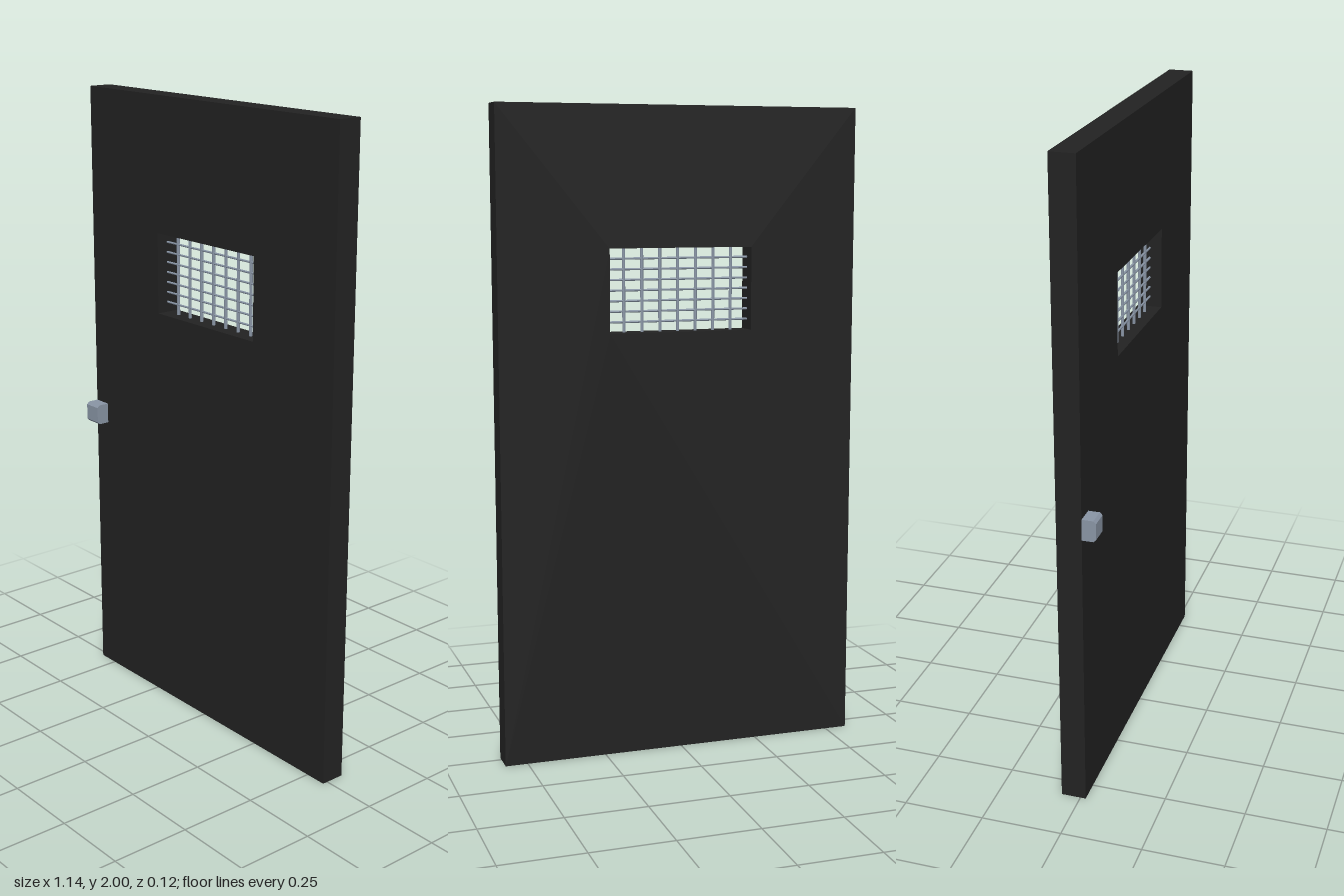
import * as THREE from 'three';

export function createModel() {
  const model = new THREE.Group();
  const doorPaint = new THREE.MeshStandardMaterial({ color: 0x222222 });
  doorPaint.name = 'charcoal';
  const steel = new THREE.MeshStandardMaterial({ color: 0x8894a4, flatShading: true });
  steel.name = 'steel';

  const add = (name, geometry, material, parent = model) => {
    const mesh = new THREE.Mesh(geometry, material);
    mesh.name = name;
    parent.add(mesh);
    return mesh;
  };
  const rect = (Type, x0, y0, x1, y1) => new Type([
    new THREE.Vector2(x0, y0), new THREE.Vector2(x1, y0),
    new THREE.Vector2(x1, y1), new THREE.Vector2(x0, y1),
  ]);

  // Door slab with a window opening
  const back = -0.06, front = 0.017;
  const win = { x: 0.227, bottom: 1.32, top: 1.576 };
  const outline = rect(THREE.Shape, -0.57, 0, 0.57, 2);
  outline.holes.push(rect(THREE.Path, -win.x, win.bottom, win.x, win.top));
  const slab = new THREE.ExtrudeGeometry(outline, { depth: front - back, bevelEnabled: false });
  add('doorSlab', slab.translate(0, 0, back), doorPaint);

  // Window grille: seven upright and seven level bars
  const grille = new THREE.Group();
  grille.name = 'windowGrille';
  model.add(grille);
  const mid = (front + back) / 2;
  const height = win.top - win.bottom;
  for (let i = 1; i <= 7; i++) {
    const upright = add('uprightBar', new THREE.CylinderGeometry(0.005, 0.005, height, 8), steel, grille);
    upright.position.set((i - 4) * 0.0575, win.bottom + height / 2, mid);
    const level = add('levelBar', new THREE.CylinderGeometry(0.0035, 0.0035, win.x * 2, 8), steel, grille);
    level.rotation.z = Math.PI / 2;
    level.position.set(0, win.bottom + (height * i) / 8, mid);
  }

  // Latch block: chamfered side profile swept along x
  const w = 0.06, h = 0.033, d = 0.043, c = 0.008;
  const profile = new THREE.Shape([
    [0, -h], [d - c, -h], [d, -h + c], [d, h - c], [d - c, h], [0, h],
  ].map(([z, y]) => new THREE.Vector2(-z, y)));
  const latch = new THREE.ExtrudeGeometry(profile, { depth: w, bevelEnabled: false });
  add('latch', latch.rotateY(Math.PI / 2).translate(-0.57, 0.922, front), steel);

  return model;
}
